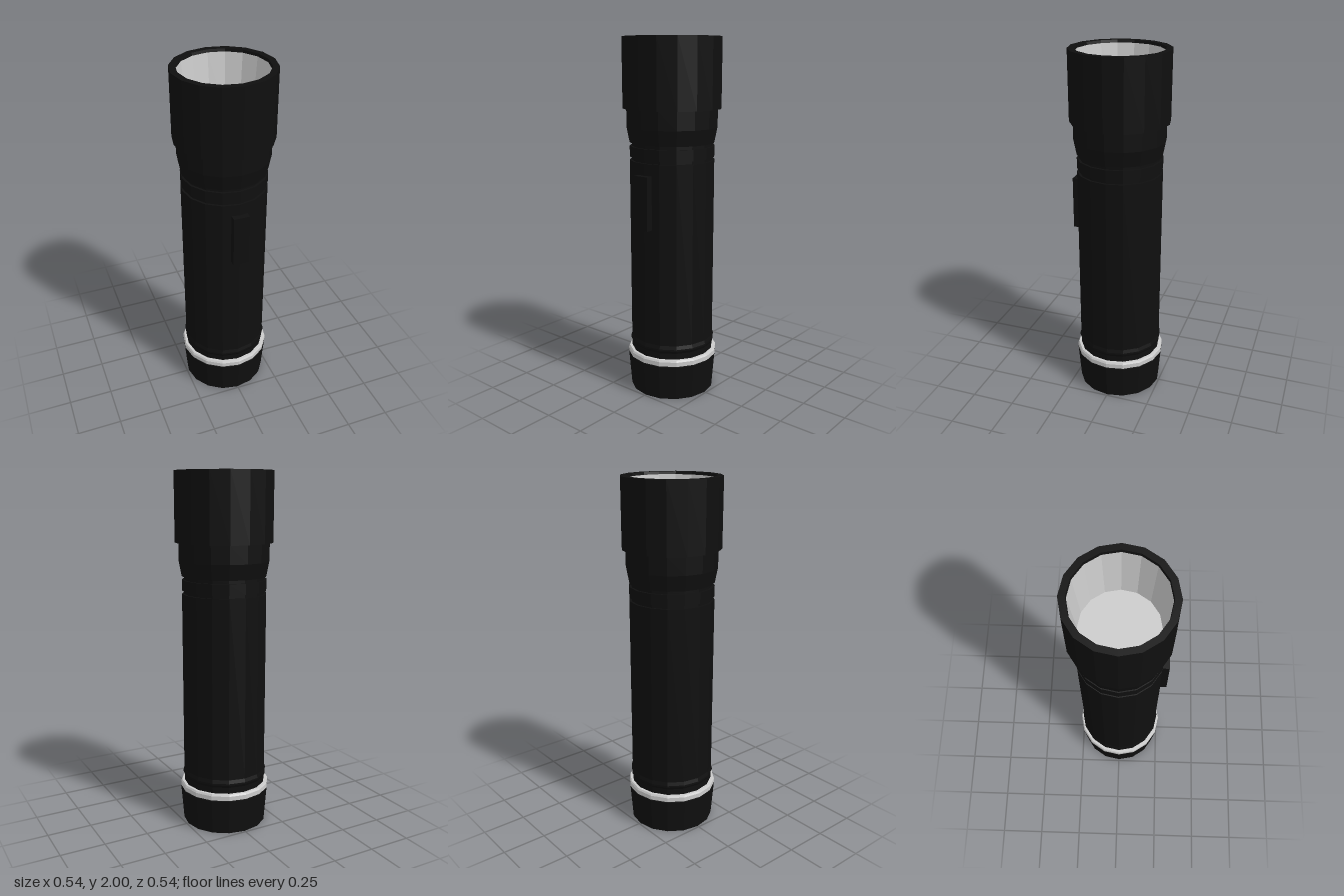
import * as THREE from 'three';

const SIDES = 16;
const black = new THREE.MeshStandardMaterial({ color: 0x0f0f0f, flatShading: true });
const grey = new THREE.MeshStandardMaterial({ color: 0xcccccc, flatShading: true });

// Turns a [radius, height] profile (upwards outside, downwards inside) into a faceted part
function turned(name, profile, material) {
  const points = profile.map(([r, y]) => new THREE.Vector2(r, y));
  const mesh = new THREE.Mesh(new THREE.LatheGeometry(points, SIDES), material);
  mesh.name = name;
  return mesh;
}

export function createModel() {
  const flashlight = new THREE.Group();
  flashlight.name = 'flashlight';

  flashlight.add(
    // Tapered screw cap at the base
    turned('tailCap', [[0, 0], [0.24, 0], [0.256, 0.2], [0.235, 0.205]], black),
    // Bright trim ring above the cap
    turned('trimRing', [[0.235, 0.205], [0.256, 0.205], [0.256, 0.23], [0.25, 0.24], [0.232, 0.24]], grey),
    // Grip with a small bead near the bottom and two grooves near the top
    turned('grip', [
      [0.235, 0.235], [0.235, 0.275], [0.242, 0.29], [0.242, 0.3], [0.236, 0.32],
      [0.236, 1.34], [0.224, 1.34], [0.224, 1.358],
      [0.236, 1.358], [0.236, 1.418], [0.224, 1.418], [0.224, 1.436], [0.236, 1.436],
    ], black),
    // Flared neck
    turned('neck', [[0.236, 1.436], [0.252, 1.52], [0.252, 1.62]], black),
    // Head sleeve with an open rim
    turned('head', [[0.24, 1.62], [0.272, 1.62], [0.272, 2], [0.238, 2], [0.235, 1.985]], black),
    // Reflector wall narrowing down to the lens
    turned('reflector', [[0.235, 1.985], [0.205, 1.68]], grey),
    turned('lens', [[0.205, 1.68], [0, 1.68]], grey),
  );

  // Slide switch: a raised plate on the front of the grip
  const slideSwitch = new THREE.Mesh(new THREE.BoxGeometry(0.09, 0.295, 0.06), black);
  slideSwitch.name = 'slideSwitch';
  slideSwitch.position.set(0, 1.128, 0.235);
  flashlight.add(slideSwitch);

  return flashlight;
}
